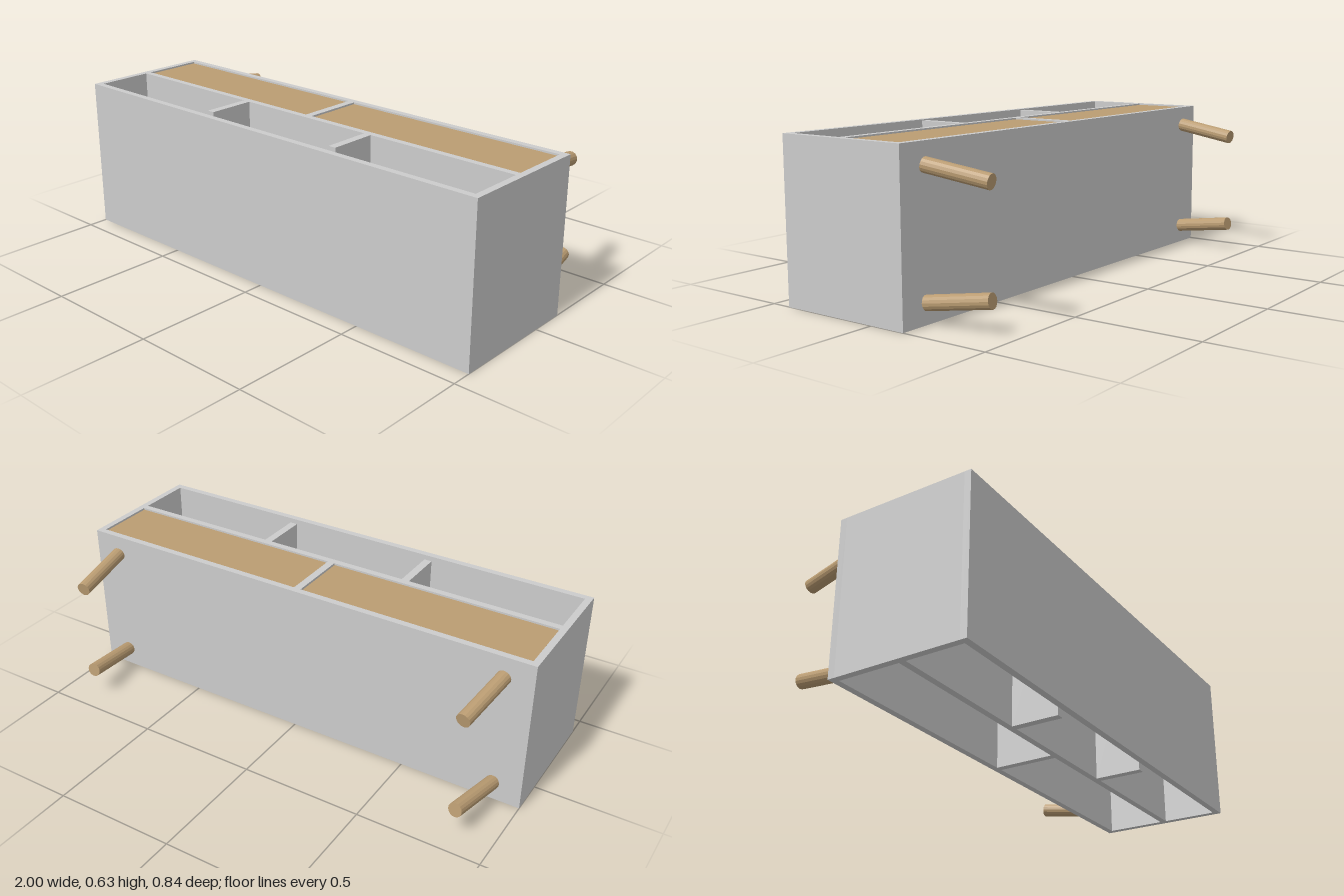
import * as THREE from 'three';

const grey = new THREE.MeshStandardMaterial({ color: 0xcccccc });
const wood = new THREE.MeshStandardMaterial({ color: 0xba9c72 });
const woodFlat = new THREE.MeshStandardMaterial({ color: 0xba9c72, flatShading: true });

const H = 0.635;             // extent of the cabinet along y
const T = 0.027;             // panel thickness
const BACK = -0.148, FRONT = 0.418;

export function createModel() {
  const model = new THREE.Group();
  model.name = 'cabinet';

  // Box between two corners
  const panel = (name, x0, x1, y0, y1, z0, z1, material = grey) => {
    const mesh = new THREE.Mesh(new THREE.BoxGeometry(x1 - x0, y1 - y0, z1 - z0), material);
    mesh.position.set((x0 + x1) / 2, (y0 + y1) / 2, (z0 + z1) / 2);
    mesh.name = name;
    model.add(mesh);
  };

  // Outer carcass, open along y
  panel('legSidePanel', -1, 1, 0, H, BACK, BACK + T);
  panel('frontPanel', -1, 1, 0, H, FRONT - T, FRONT);
  panel('rightEndPanel', -1, -1 + T, 0, H, BACK + T, FRONT - T);
  panel('leftEndPanel', 1 - T, 1, 0, H, BACK + T, FRONT - T);

  // Middle shelf and the dividers on both sides of it
  panel('middleShelf', -1 + T, 1 - T, 0, H, 0.132, 0.132 + T);
  panel('centreDivider', -0.015, 0.015, 0, H, BACK + T, 0.132);
  for (const x of [-0.324, 0.324]) {
    panel('shortDivider', x - 0.016, x + 0.016, 0, H, 0.132 + T, 0.355);
  }

  // Doors, slightly recessed in the closed compartments
  const gap = 0.003;
  panel('rightDoor', -1 + T + gap, -0.015 - gap, H - 0.032, H - 0.006, BACK + T + gap, 0.132 - gap, wood);
  panel('leftDoor', 0.015 + gap, 1 - T - gap, H - 0.032, H - 0.006, BACK + T + gap, 0.132 - gap, wood);

  // Four round legs, leaning towards the middle
  for (const side of [-1, 1]) {
    for (const [y0, y1] of [[0.08, 0.12], [0.555, 0.515]]) {
      const start = new THREE.Vector3(side * 0.885, y0, -0.1515);
      const end = new THREE.Vector3(side * 0.853, y1, -0.4135);
      const axis = end.clone().sub(start);
      const leg = new THREE.Mesh(new THREE.CylinderGeometry(0.0285, 0.0285, axis.length(), 16), woodFlat);
      leg.position.copy(start).add(end).multiplyScalar(0.5);
      leg.quaternion.setFromUnitVectors(new THREE.Vector3(0, 1, 0), axis.normalize());
      leg.name = 'leg';
      model.add(leg);
    }
  }
  return model;
}
